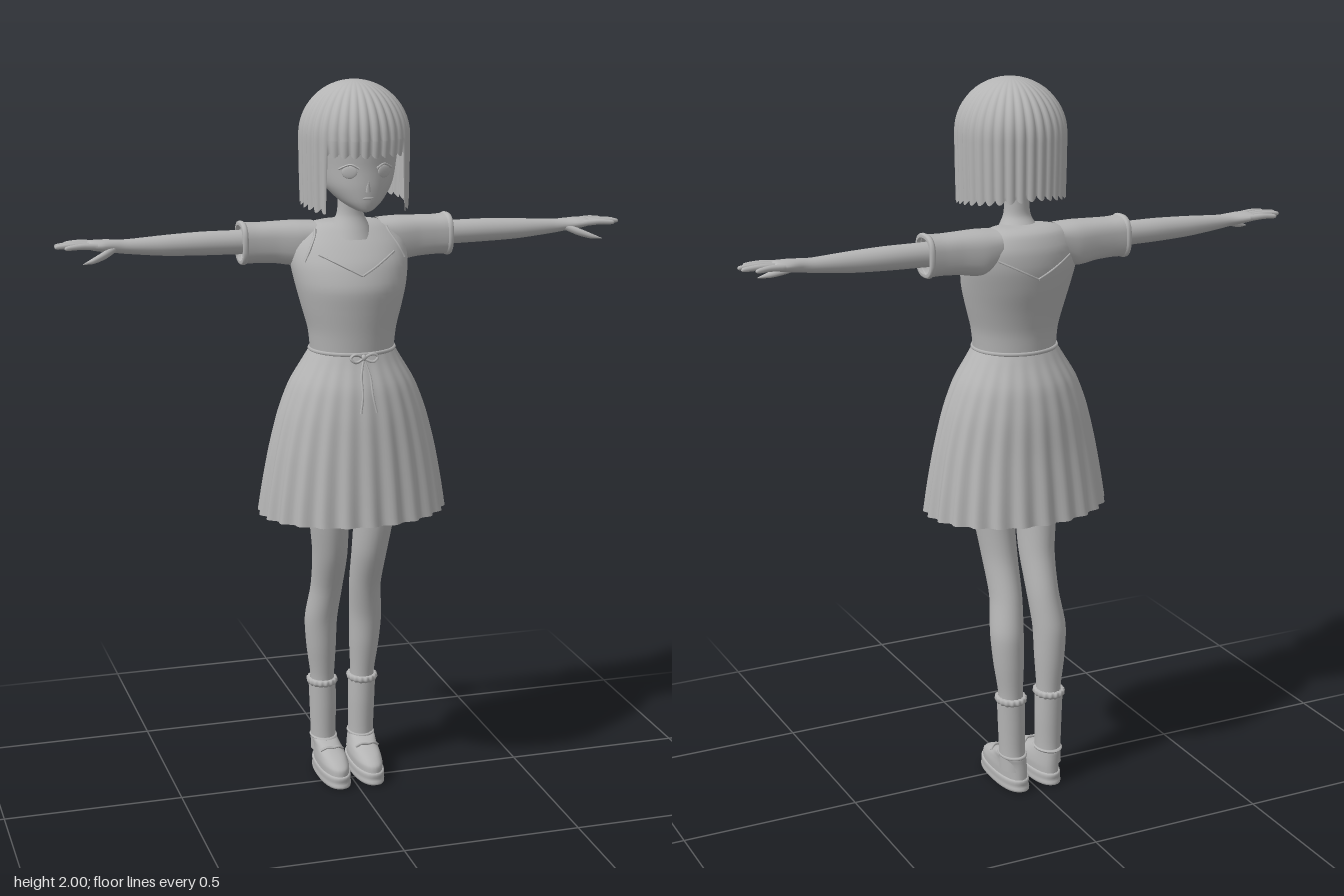
import * as THREE from 'three';

const grey = new THREE.MeshStandardMaterial({ color: 0xb4b4b4, side: THREE.DoubleSide });
grey.name = 'plainGrey';

// Closed-ring grid: point(a, t) with angle a (0 = front) and t rising from 0 to 1
function grid(point, nu, nv) {
  const pos = [], idx = [];
  for (let j = 0; j <= nv; j++)
    for (let i = 0; i < nu; i++) pos.push(...point((i / nu) * Math.PI * 2, j / nv));
  for (let j = 0; j < nv; j++)
    for (let i = 0; i < nu; i++) {
      const a = j * nu + i, b = j * nu + ((i + 1) % nu);
      idx.push(a, b, a + nu, b, b + nu, a + nu);
    }
  const g = new THREE.BufferGeometry();
  g.setAttribute('position', new THREE.Float32BufferAttribute(pos, 3));
  g.setIndex(idx);
  g.computeVertexNormals();
  return g;
}

// Smooth loft through sections [y, centreX, centreZ, radiusX, radiusZ]
function loft(sections, { nu = 28, nv = 24, power = 1, mod = () => 1 } = {}) {
  const centre = new THREE.CatmullRomCurve3(sections.map(s => new THREE.Vector3(s[1], s[0], s[2])), false, 'catmullrom', 0.4);
  const radius = new THREE.CatmullRomCurve3(sections.map(s => new THREE.Vector3(s[3], 0, s[4])), false, 'catmullrom', 0.4);
  const bend = v => Math.sign(v) * Math.abs(v) ** power;
  return grid((a, t) => {
    const c = centre.getPoint(t), r = radius.getPoint(t), m = mod(a, t);
    return [c.x + r.x * m * bend(Math.sin(a)), c.y, c.z + r.z * m * bend(Math.cos(a))];
  }, nu, nv);
}

// Loft from [y, halfWidth, frontZ, backZ]
const body = (rows, opt) => loft(rows.map(([y, w, f, b]) => [y, 0, (f + b) / 2, w, (f - b) / 2]), opt);
// Loft running outward along x from [x, y, z, radiusY, radiusZ]
const alongX = (rows, opt) => loft(rows.map(([x, y, z, ry, rz]) => [x, -y, z, ry, rz]), opt).rotateZ(-Math.PI / 2);

const cord = (points, r, n = 24) =>
  new THREE.TubeGeometry(new THREE.CatmullRomCurve3(points.map(p => new THREE.Vector3(...p))), n, r, 6);

function mirrored(geo) {
  const g = geo.clone().scale(-1, 1, 1), ix = g.index.array;
  for (let i = 0; i < ix.length; i += 3) [ix[i], ix[i + 1]] = [ix[i + 1], ix[i]];
  g.computeVertexNormals();
  return g;
}

export function createModel() {
  const model = new THREE.Group();
  const add = (name, geo) => {
    const m = new THREE.Mesh(geo, grey);
    m.name = name;
    model.add(m);
  };
  const pair = (name, geo) => {
    add(name + 'Left', geo);
    add(name + 'Right', mirrored(geo));
  };

  // Head and neck
  add('head', body([
    [1.662, 0.004, 0.135, 0.11], [1.668, 0.025, 0.148, 0.08], [1.69, 0.058, 0.155, 0.01], [1.73, 0.092, 0.157, -0.06],
    [1.78, 0.108, 0.155, -0.1], [1.86, 0.115, 0.155, -0.105], [1.94, 0.08, 0.11, -0.06], [1.97, 0.005, 0.03, 0.02]], { nu: 36, nv: 30 }));
  add('neck', body([
    [1.575, 0.066, 0.052, -0.095], [1.6, 0.056, 0.04, -0.08], [1.635, 0.038, 0.024, -0.05], [1.67, 0.034, 0.022, -0.045],
    [1.74, 0.036, 0.03, -0.045]]));

  // Face details
  add('nose', new THREE.ConeGeometry(0.009, 0.03, 8).rotateX(0.35).translate(0, 1.735, 0.157));
  add('mouth', new THREE.SphereGeometry(1, 12, 6).scale(0.016, 0.003, 0.004).translate(0, 1.702, 0.155));
  pair('eye', new THREE.SphereGeometry(1, 16, 10).scale(0.021, 0.017, 0.004).rotateY(0.4).translate(0.047, 1.77, 0.142));
  pair('lash', cord([[0.024, 1.78, 0.154], [0.045, 1.79, 0.147], [0.072, 1.778, 0.128]], 0.003));

  // Bob hair: ribbed locks, a straight fringe and longer sides
  const locks = 32;
  const hem = a => {
    const d = Math.abs(Math.atan2(Math.sin(a), Math.cos(a)));
    const base = d < 0.82 ? 1.808 : 1.66 + 0.035 * Math.max(0, (d - 1) / 2.14);
    return base + 0.012 * (1 - Math.abs(Math.sin(locks * a / 2)));
  };
  add('hair', grid((a, t) => {
    let y, r;
    const waist = 1.855;
    if (t < 0.5) {
      y = THREE.MathUtils.lerp(hem(a), waist, t * 2);
      r = 0.98 + 0.02 * Math.sin(t * Math.PI);
    } else {
      const q = (t - 0.5) * Math.PI;
      y = waist + 0.145 * Math.sin(q);
      r = Math.max(Math.cos(q), 0.002);
    }
    r *= 1.01 - 0.045 * (1 - Math.abs(Math.sin(locks * a / 2))) * Math.min(1, (1 - t) * 4);
    return [0.146 * r * Math.sin(a), y, 0.025 + 0.161 * r * Math.cos(a)];
  }, locks * 6, 28));

  // Bodice with shoulders
  const rows = [
    [1.27, 0.115, 0.108, -0.102], [1.33, 0.122, 0.112, -0.105], [1.39, 0.138, 0.118, -0.118], [1.45, 0.153, 0.121, -0.135],
    [1.51, 0.163, 0.098, -0.146], [1.56, 0.158, 0.06, -0.143], [1.6, 0.125, 0.02, -0.125], [1.615, 0.08, -0.005, -0.1], [1.618, 0.01, -0.04, -0.06]];
  add('bodice', body(rows, { nu: 40, nv: 32 }));
  const onBodice = (x, y, side) => {
    const k = Math.max(0, rows.findIndex(r => r[0] > y) - 1), [p, q] = [rows[k], rows[k + 1]];
    const [, w, f, b] = p.map((v, i) => THREE.MathUtils.lerp(v, q[i], (y - p[0]) / (q[0] - p[0])));
    return [x, y, (f + b) / 2 + side * ((f - b) / 2 * Math.sqrt(Math.max(0, 1 - (x / w) ** 2)) + 0.002)];
  };
  for (const side of [1, -1]) {
    const end = side > 0 ? 'Front' : 'Back';
    pair('neckline' + end, cord([[0, 1.487], [0.035, 1.505], [0.07, 1.523], [0.105, 1.54]].map(p => onBodice(...p, side)), 0.003));
    pair('strap' + end, cord([[0.14, 1.52], [0.125, 1.55], [0.105, 1.585], [0.1, 1.6]].map(p => onBodice(...p, side)), 0.004));
  }

  // Pleated skirt, open underneath
  const pleats = 24;
  add('skirt', body([
    [0.815, 0.258, 0.202, -0.2], [0.9, 0.246, 0.193, -0.189], [1.0, 0.228, 0.181, -0.176], [1.1, 0.203, 0.167, -0.165],
    [1.18, 0.173, 0.149, -0.148], [1.24, 0.138, 0.123, -0.12], [1.275, 0.117, 0.11, -0.104]],
    { nu: pleats * 8, nv: 24, mod: (a, t) => 1 + 0.028 * (1 - t) * Math.cos(pleats * a) }));

  // Waist cord and bow
  add('waistCord', new THREE.TorusGeometry(1, 0.04, 6, 48).rotateX(Math.PI / 2).scale(0.117, 0.14, 0.108).translate(0, 1.274, 0.003));
  add('bowKnot', new THREE.SphereGeometry(0.009, 10, 8).translate(0, 1.266, 0.117));
  pair('bowLoop', cord([[0, 1.266, 0.117], [0.025, 1.277, 0.122], [0.038, 1.268, 0.122], [0.025, 1.256, 0.126], [0, 1.264, 0.118]], 0.004));
  pair('bowTail', cord([[0, 1.264, 0.118], [0.012, 1.22, 0.138], [0.014, 1.17, 0.158], [0.022, 1.125, 0.167]], 0.003));

  // Short boxy sleeves with a cuff
  pair('sleeve', alongX([
    [0.09, 1.57, -0.06, 0.045, 0.06], [0.14, 1.558, -0.061, 0.06, 0.06], [0.2, 1.561, -0.062, 0.056, 0.053],
    [0.25, 1.562, -0.062, 0.054, 0.051], [0.292, 1.563, -0.062, 0.056, 0.052]], { power: 0.75 }));
  pair('cuff', alongX([
    [0.28, 1.563, -0.062, 0.054, 0.05], [0.287, 1.563, -0.062, 0.059, 0.055], [0.296, 1.563, -0.062, 0.057, 0.053],
    [0.297, 1.563, -0.062, 0.048, 0.044]], { power: 0.75, nv: 8 }));

  // Arms and hands
  pair('arm', alongX([
    [0.14, 1.565, -0.06, 0.036, 0.036], [0.3, 1.566, -0.06, 0.033, 0.033], [0.4, 1.567, -0.06, 0.032, 0.033], [0.5, 1.567, -0.058, 0.028, 0.029],
    [0.6, 1.569, -0.057, 0.02, 0.021], [0.635, 1.572, -0.056, 0.018, 0.023], [0.67, 1.575, -0.056, 0.016, 0.034], [0.7, 1.577, -0.058, 0.012, 0.037],
    [0.715, 1.577, -0.058, 0.003, 0.025]], { nu: 20, nv: 40 }));
  const tips = [[0.775, -0.017], [0.797, -0.043], [0.795, -0.066], [0.768, -0.096]];
  tips.forEach(([x, z], i) => {
    const z0 = -0.03 - i * 0.0185;
    pair('finger' + (i + 1), alongX([
      [0.685, 1.577, z0, 0.009, 0.009], [(0.685 + x) / 2, 1.58, (z0 + z) / 2, 0.008, 0.0085],
      [x - 0.008, 1.578, z, 0.006, 0.006], [x, 1.577, z, 0.001, 0.001]], { nu: 10, nv: 12 }));
  });
  pair('thumb', alongX([
    [0.63, 1.57, -0.048, 0.009, 0.01], [0.665, 1.556, -0.025, 0.011, 0.012], [0.7, 1.544, -0.009, 0.008, 0.009],
    [0.73, 1.537, 0.0, 0.001, 0.001]], { nu: 10, nv: 14 }));

  // Legs
  pair('leg', loft([
    [0.22, 0.06, -0.096, 0.034, 0.038], [0.29, 0.06, -0.095, 0.034, 0.039], [0.38, 0.064, -0.091, 0.042, 0.048],
    [0.47, 0.066, -0.084, 0.046, 0.053], [0.57, 0.057, -0.058, 0.044, 0.056], [0.68, 0.058, -0.019, 0.048, 0.065],
    [0.8, 0.066, 0.001, 0.055, 0.076], [0.95, 0.071, 0.003, 0.066, 0.086], [1.12, 0.066, 0, 0.064, 0.09]], { nv: 40 }));
  add('hips', body([
    [0.98, 0.06, 0.06, -0.07], [1.02, 0.125, 0.095, -0.1], [1.12, 0.13, 0.1, -0.105], [1.27, 0.108, 0.1, -0.095]]));

  // Socks with a frilled top
  pair('sock', loft([
    [0.06, 0.056, -0.1, 0.036, 0.045], [0.12, 0.057, -0.098, 0.036, 0.042], [0.2, 0.058, -0.097, 0.038, 0.043],
    [0.275, 0.06, -0.097, 0.039, 0.043]]));
  pair('sockFrill', loft([
    [0.262, 0.06, -0.097, 0.038, 0.043], [0.27, 0.06, -0.097, 0.043, 0.05], [0.28, 0.06, -0.097, 0.042, 0.048],
    [0.282, 0.06, -0.097, 0.034, 0.039]], { nu: 96, nv: 8, mod: a => 1 + 0.035 * Math.cos(16 * a) }));

  // Shoes with a thick sole, ankle collar and lace bow
  pair('sole', loft([
    [0, 0.05, -0.037, 0.002, 0.005], [0.0005, 0.05, -0.037, 0.041, 0.115], [0.018, 0.05, -0.037, 0.043, 0.118],
    [0.036, 0.05, -0.037, 0.042, 0.117], [0.037, 0.05, -0.037, 0.02, 0.08]], { power: 0.85, nv: 16 }));
  pair('shoe', loft([
    [0.034, 0.05, -0.037, 0.04, 0.114], [0.055, 0.05, -0.039, 0.041, 0.111], [0.072, 0.051, -0.053, 0.039, 0.096],
    [0.085, 0.053, -0.073, 0.037, 0.075], [0.098, 0.056, -0.09, 0.036, 0.057], [0.104, 0.056, -0.098, 0.034, 0.045]], { power: 0.9 }));
  pair('shoeCollar', new THREE.TorusGeometry(1, 0.12, 6, 28).rotateX(Math.PI / 2).scale(0.035, 0.04, 0.047).translate(0.056, 0.102, -0.098));
  pair('shoeLace', cord([[0.02, 0.083, -0.02], [0.035, 0.094, -0.012], [0.053, 0.093, -0.01], [0.07, 0.094, -0.012], [0.086, 0.083, -0.02]], 0.004));

  return model;
}
